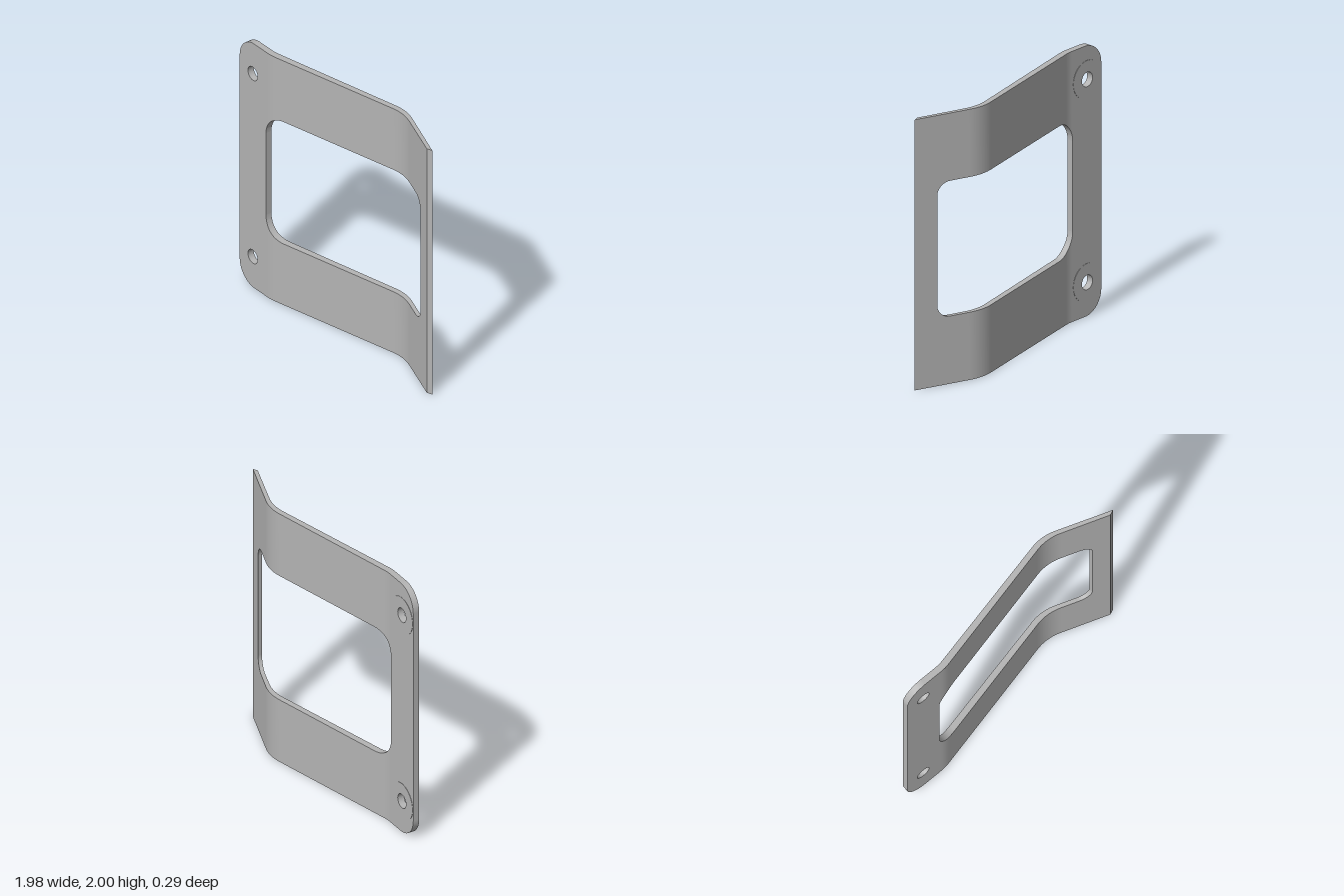
import * as THREE from 'three';

const WIN = { left: -0.70, right: 0.82, half: 0.5, rl: 0.165, rr: 0.095 };
const HOLE_X = -0.845, HOLE_YS = [0.25, 1.75], HOLE_R = 0.054;

// bent profile: corners [x, z, half width of the rounded bend]
const FRONT = [[-0.99, 0.146, 0], [-0.645, 0.146, 0.035], [0.4995, -0.118, 0.1], [0.945, 0.038, 0], [0.985, 0.022, 0]];
const BACK = [[-0.99, 0.098, 0], [-0.66, 0.098, 0.035], [0.484, -0.157, 0.1], [0.985, 0.022, 0]];

function profileZ(corners, x) {
  const slope = i => (corners[i + 1][1] - corners[i][1]) / (corners[i + 1][0] - corners[i][0]);
  for (let i = 1; i < corners.length - 1; i++) {
    const [cx, cz, h] = corners[i];
    if (h && Math.abs(x - cx) < h) {
      const d = x - cx + h, a = slope(i - 1), b = slope(i);
      return cz - a * h + a * d + (b - a) * d * d / (4 * h);
    }
  }
  let i = 0;
  while (i < corners.length - 2 && x > corners[i + 1][0]) i++;
  return corners[i][1] + slope(i) * (x - corners[i][0]);
}

// half height of the window opening at x, with rounded corners
function windowHalf(x) {
  const { left, right, half, rl, rr } = WIN;
  const arc = (r, d) => half - r + Math.sqrt(Math.max(0, r * r - d * d));
  if (x < left + rl) return arc(rl, left + rl - x);
  if (x > right - rr) return arc(rr, x - right + rr);
  return half;
}

// smooth ribbon between two rows of points
function strip(a, b) {
  const pos = [], idx = [], n = a.length;
  for (const p of [...a, ...b]) pos.push(...p);
  for (let i = 0; i < n - 1; i++) idx.push(i, i + 1, n + i, i + 1, n + i + 1, n + i);
  const g = new THREE.BufferGeometry();
  g.setAttribute('position', new THREE.Float32BufferAttribute(pos, 3));
  g.setIndex(idx);
  g.computeVertexNormals();
  return g;
}

// bent band of sheet between heights lo(x) and hi(x)
function band(name, xs, lo, hi, material) {
  const row = (y, prof) => xs.map(x => [x, y(x), profileZ(prof, x)]);
  const lf = row(lo, FRONT), lb = row(lo, BACK), hf = row(hi, FRONT), hb = row(hi, BACK);
  const group = new THREE.Group();
  group.name = name;
  [['front', lf, hf], ['back', hb, lb], ['upperEdge', hf, hb], ['lowerEdge', lb, lf]].forEach(([part, a, b]) => {
    const m = new THREE.Mesh(strip(a, b), material);
    m.name = name + '_' + part;
    group.add(m);
  });
  return group;
}

export function createModel() {
  const model = new THREE.Group();
  model.name = 'bentPlate';
  const metal = new THREE.MeshStandardMaterial({ color: 0xb4b4b4 });
  metal.name = 'greyMetal';
  const add = (name, geo) => {
    const m = new THREE.Mesh(geo, metal);
    m.name = name;
    model.add(m);
  };

  // flat mounting tab with rounded outer corners and two screw holes
  const L = -0.99, R = WIN.left, r = 0.165;
  const tab = new THREE.Shape();
  tab.moveTo(R, 0);
  tab.lineTo(R, 2);
  tab.lineTo(L + r, 2);
  tab.absarc(L + r, 2 - r, r, Math.PI / 2, Math.PI, false);
  tab.lineTo(L, r);
  tab.absarc(L + r, r, r, Math.PI, Math.PI * 1.5, false);
  for (const y of HOLE_YS) tab.holes.push(new THREE.Path().absarc(HOLE_X, y, HOLE_R, 0, Math.PI * 2, true));
  const tabGeo = new THREE.ExtrudeGeometry(tab, { depth: 0.048, bevelEnabled: false, curveSegments: 20 });
  tabGeo.translate(0, 0, 0.098);
  add('mountingTab', tabGeo);

  // shallow seats around the holes on the back
  HOLE_YS.forEach((y, i) => {
    const ring = new THREE.Shape().absarc(HOLE_X, y, 0.14, 0, Math.PI * 2, false);
    ring.holes.push(new THREE.Path().absarc(HOLE_X, y, HOLE_R, 0, Math.PI * 2, true));
    const g = new THREE.ExtrudeGeometry(ring, { depth: 0.003, bevelEnabled: false, curveSegments: 20 });
    g.translate(0, 0, 0.0955);
    add(i ? 'upperHoleSeat' : 'lowerHoleSeat', g);
  });

  // stations along the two arms: window corners and bends
  const xs = [];
  for (let i = 0; i <= 12; i++) {
    const c = Math.cos(i / 12 * Math.PI / 2);
    xs.push(WIN.left + WIN.rl * (1 - c), WIN.right - WIN.rr * (1 - c));
  }
  for (const prof of [FRONT, BACK]) {
    for (const [cx, , h] of prof) {
      if (h) for (let i = -4; i <= 4; i++) xs.push(cx + h * i / 4);
    }
  }
  xs.sort((a, b) => a - b);
  const stations = xs.filter((x, i) => i === 0 || x - xs[i - 1] > 1e-5);

  model.add(band('upperArm', stations, x => 1 + windowHalf(x), () => 2, metal));
  model.add(band('lowerArm', stations, () => 0, x => 1 - windowHalf(x), metal));

  // full-height strip beyond the window, then its slanted end
  model.add(band('endStrip', [WIN.right, 0.945], () => 0, () => 2, metal));
  model.add(band('slantedEnd', [0.945, 0.985], () => 0, () => 2, metal));

  // window edge wall on the end strip
  const y0 = 1 - windowHalf(WIN.right), y1 = 1 + windowHalf(WIN.right);
  const zf = profileZ(FRONT, WIN.right), zb = profileZ(BACK, WIN.right);
  add('windowEndWall', strip([[WIN.right, y0, zb], [WIN.right, y0, zf]], [[WIN.right, y1, zb], [WIN.right, y1, zf]]));
  return model;
}
